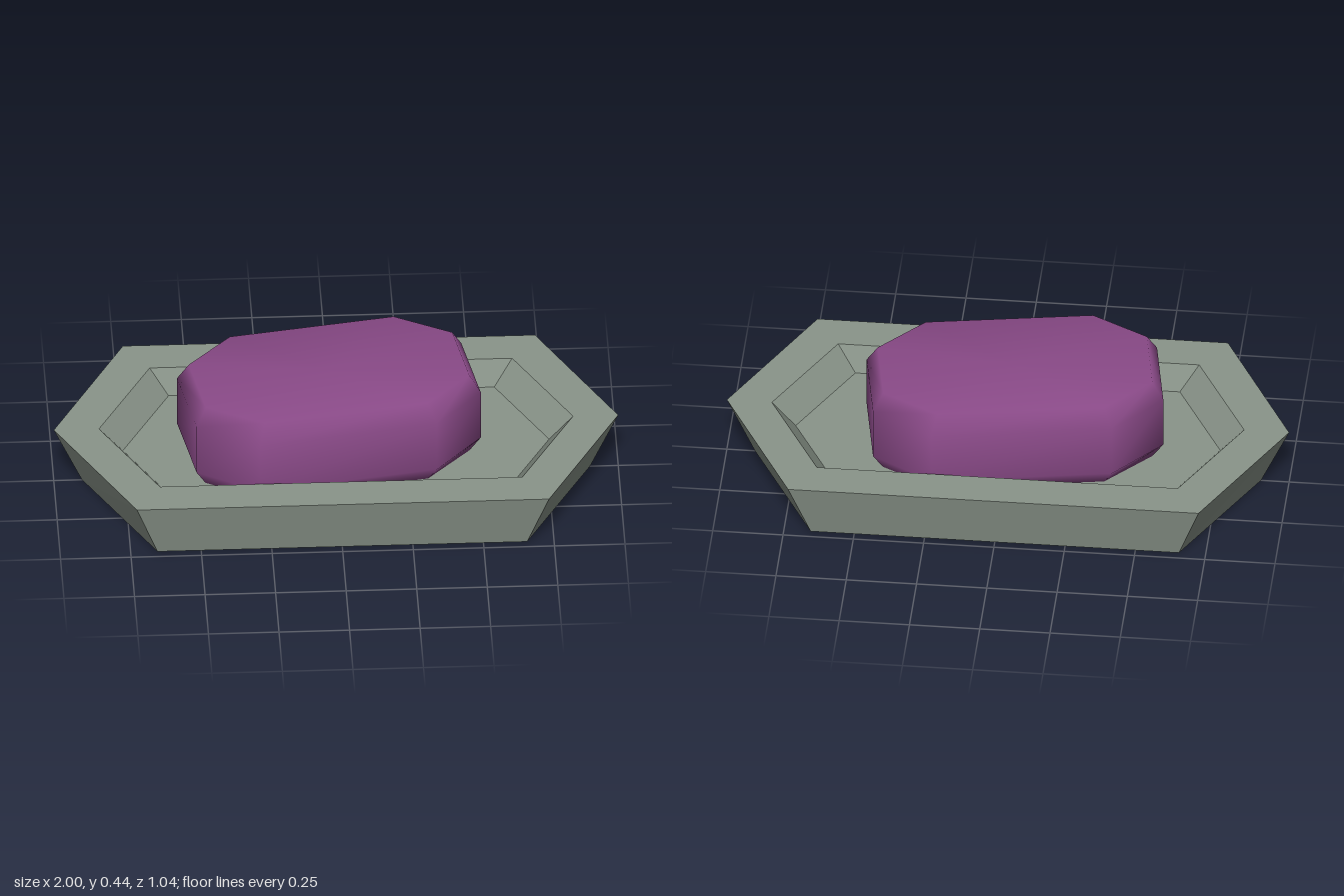
import * as THREE from 'three';

// Skin a stack of closed rings [{y, pts:[[x,z],...]}], capped at both ends.
function loft(rings) {
  const n = rings[0].pts.length;
  const pos = [];
  const index = [];
  for (const { y, pts } of rings) for (const [x, z] of pts) pos.push(x, y, z);
  for (let i = 0; i < rings.length - 1; i++) {
    for (let j = 0; j < n; j++) {
      const k = (j + 1) % n;
      const a = i * n + j, b = i * n + k, c = b + n, d = a + n;
      index.push(a, b, c, a, c, d);
    }
  }
  // centre points for the two caps
  const bottom = pos.length / 3, top = bottom + 1, last = (rings.length - 1) * n;
  pos.push(0, rings[0].y, 0, 0, rings[rings.length - 1].y, 0);
  for (let j = 0; j < n; j++) {
    const k = (j + 1) % n;
    index.push(bottom, k, j, last + j, last + k, top);
  }
  const g = new THREE.BufferGeometry();
  g.setAttribute('position', new THREE.Float32BufferAttribute(pos, 3));
  g.setIndex(index);
  return g;
}

// Elongated hexagon, counter-clockwise from above
const hexRing = (y, tip, x, z) => ({
  y, pts: [[tip, 0], [x, -z], [-x, -z], [-tip, 0], [-x, z], [x, z]],
});

// Rectangle with cut corners, scaled inward by sx, sz
const barRing = (y, sx, sz) => ({
  y,
  pts: [
    [0.515, 0.16], [0.515, -0.16], [0.32, -0.324], [-0.32, -0.324],
    [-0.515, -0.16], [-0.515, 0.16], [-0.32, 0.324], [0.32, 0.324],
  ].map(([x, z]) => [x * sx, z * sz]),
});

export function createModel() {
  const model = new THREE.Group();
  model.name = 'soapDish';

  const stone = new THREE.MeshStandardMaterial({ color: 0x8a958a });
  stone.name = 'greyGreen';
  const purple = new THREE.MeshStandardMaterial({ color: 0x8a4a88 });
  purple.name = 'purple';

  // Dish: flared outer wall, flat rim, sloped recess
  const dishGeometry = loft([
    hexRing(0, 0.9, 0.655, 0.468),
    hexRing(0.215, 1, 0.73, 0.522),
    hexRing(0.215, 0.84, 0.642, 0.378),
    hexRing(0.12, 0.755, 0.577, 0.34),
  ]).toNonIndexed();
  dishGeometry.computeVertexNormals();
  const dish = new THREE.Mesh(dishGeometry, stone);
  dish.name = 'dish';
  model.add(dish);

  // Soap bar: bevelled block with smooth normals, lying askew
  const soapGeometry = loft([
    barRing(0.118, 0.927, 0.87),
    barRing(0.182, 1, 1),
    barRing(0.375, 1, 1),
    barRing(0.44, 0.927, 0.87),
  ]);
  soapGeometry.computeVertexNormals();
  const soap = new THREE.Mesh(soapGeometry, purple);
  soap.name = 'soapBar';
  soap.position.x = -0.025;
  soap.rotation.y = 0.17;
  model.add(soap);

  return model;
}
